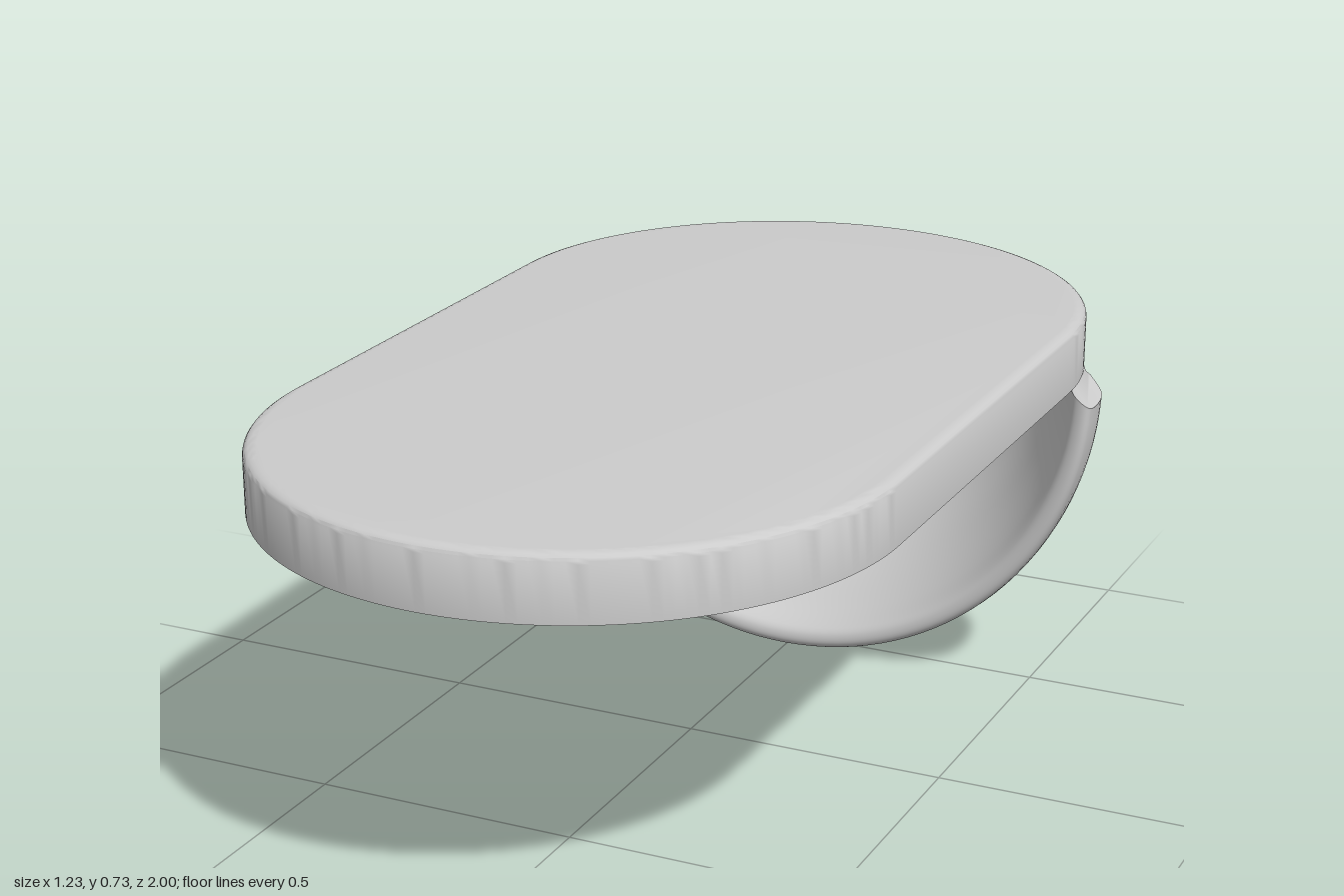
import * as THREE from 'three';
import { mergeGeometries, toCreasedNormals } from 'three/addons/utils/BufferGeometryUtils.js';

const HALF_W = 0.572, UNDER = 0.622;

// Half-bowl section, inner apex -> rim -> outer apex: [depth behind rim, side radius, downward radius]
const SECTION = [
  [0.5, 0, 0], [0.475, 0.15, 0.09], [0.44, 0.25, 0.2], [0.37, 0.36, 0.36], [0.26, 0.45, 0.43],
  [0.14, 0.51, 0.495], [0.06, 0.55, 0.55], [0.01, 0.575, 0.575], [0, 0.588, 0.588],
  [0, 0.606, 0.606], [0.012, 0.614, 0.616], [0.085, 0.61, 0.613], [0.105, 0.598, 0.602],
  [0.13, 0.565, 0.568], [0.17, 0.545, 0.542], [0.26, 0.506, 0.483], [0.36, 0.437, 0.42],
  [0.42, 0.378, 0.34], [0.46, 0.326, 0.265], [0.5, 0.257, 0.18], [0.535, 0.169, 0.09],
  [0.552, 0.095, 0.04], [0.56, 0, 0],
];

function halfBowl(scale, rimZ, material, trimTips) {
  const rows = new THREE.CatmullRomCurve3(SECTION.map(p => new THREE.Vector3(...p)))
    .getPoints(88);
  const steps = 64, pos = [], idx = [];
  rows.forEach((p, i) => {
    for (let j = 0; j <= steps; j++) {
      const t = Math.PI * j / steps;
      pos.push(p.y * Math.cos(t), -p.z * Math.sin(t), -p.x);
      if (i < rows.length - 1 && j < steps) {
        const a = i * (steps + 1) + j, b = a + steps + 1;
        idx.push(a, a + 1, b, a + 1, b + 1, b);
      }
    }
  });
  const wall = new THREE.BufferGeometry();
  wall.setAttribute('position', new THREE.Float32BufferAttribute(pos, 3));
  wall.setIndex(idx);

  // Crescent closing the cut top edge
  const outline = rows.map(p => new THREE.Vector2(p.y, p.x));
  const mirrored = rows.slice(1, -1).reverse().map(p => new THREE.Vector2(-p.y, p.x));
  const cap = new THREE.ShapeGeometry(new THREE.Shape([...outline, ...mirrored]));
  cap.rotateX(-Math.PI / 2);
  cap.deleteAttribute('uv');
  cap.deleteAttribute('normal');

  const geo = mergeGeometries([wall, cap]);
  geo.scale(scale, scale, scale);
  // Slope the rim tips that stick out past the slab
  if (trimTips) {
    const p = geo.attributes.position;
    for (let i = 0; i < p.count; i++) {
      const over = Math.abs(p.getX(i)) - HALF_W;
      if (over > 0) p.setY(i, Math.min(p.getY(i), -over * 0.7));
    }
  }
  geo.computeVertexNormals();
  geo.translate(0, UNDER, rimZ);
  return new THREE.Mesh(geo, material);
}

function slab(material) {
  // Straight sides with half-ellipse ends
  const s = new THREE.Shape();
  s.absellipse(0, 0.44, HALF_W, 0.56, 0, Math.PI, false);
  s.absellipse(0, -0.42, HALF_W, 0.58, Math.PI, Math.PI * 2, false);
  s.closePath();
  const geo = new THREE.ExtrudeGeometry(s, {
    depth: 0.1, bevelThickness: 0.016, bevelSize: 0.024, bevelOffset: -0.024,
    bevelSegments: 5, curveSegments: 48,
  });
  geo.rotateX(-Math.PI / 2);
  // Flatten the underside so only the top edge is rounded
  const p = geo.attributes.position;
  for (let i = 0; i < p.count; i++) p.setY(i, Math.max(p.getY(i), 0));
  geo.translate(0, 0.62, 0);
  return new THREE.Mesh(toCreasedNormals(geo, 0.7), material);
}

export function createModel() {
  const group = new THREE.Group();
  const material = new THREE.MeshStandardMaterial({ color: 0xcccccc, side: THREE.DoubleSide });

  const top = slab(material);
  top.name = 'topSlab';

  const rear = halfBowl(1, -0.44, material, true);
  rear.name = 'rearHalfBowl';

  const small = halfBowl(0.345, 0.32, material, false);
  small.name = 'smallHalfBowl';

  group.add(top, rear, small);
  return group;
}
